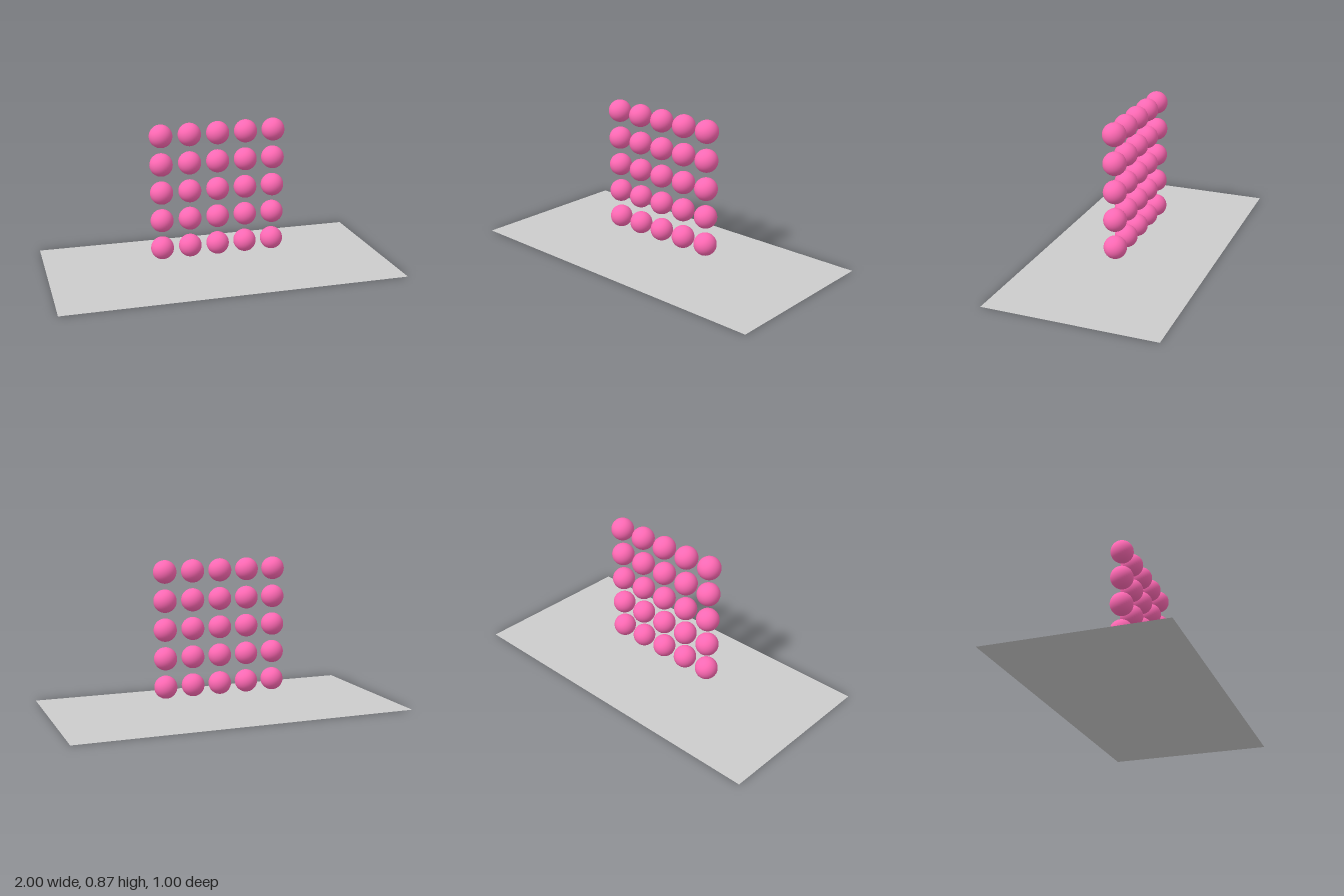
import * as THREE from 'three';

export function createModel() {
  const model = new THREE.Group();
  const grey = new THREE.MeshStandardMaterial({ color: 0xcccccc, side: THREE.DoubleSide });
  const pink = new THREE.MeshStandardMaterial({ color: 0xff69b4 });

  // Thin flat ground sheet
  const base = new THREE.Mesh(new THREE.PlaneGeometry(2, 1).rotateX(-Math.PI / 2), grey);
  base.name = 'basePlane';
  model.add(base);

  // Upright 5 x 5 grid of floating balls
  const grid = new THREE.Group();
  grid.name = 'ballGrid';
  grid.position.set(0, 0.135, 0.008);
  const count = 5, spacing = 1 / 6;
  const ballGeometry = new THREE.SphereGeometry(1 / 15, 32, 24);
  for (let row = 0; row < count; row++) {
    for (let col = 0; col < count; col++) {
      const ball = new THREE.Mesh(ballGeometry, pink);
      ball.name = `ballRow${row + 1}Column${col + 1}`;
      ball.position.set((col - (count - 1) / 2) * spacing, row * spacing, 0);
      grid.add(ball);
    }
  }
  model.add(grid);
  return model;
}
